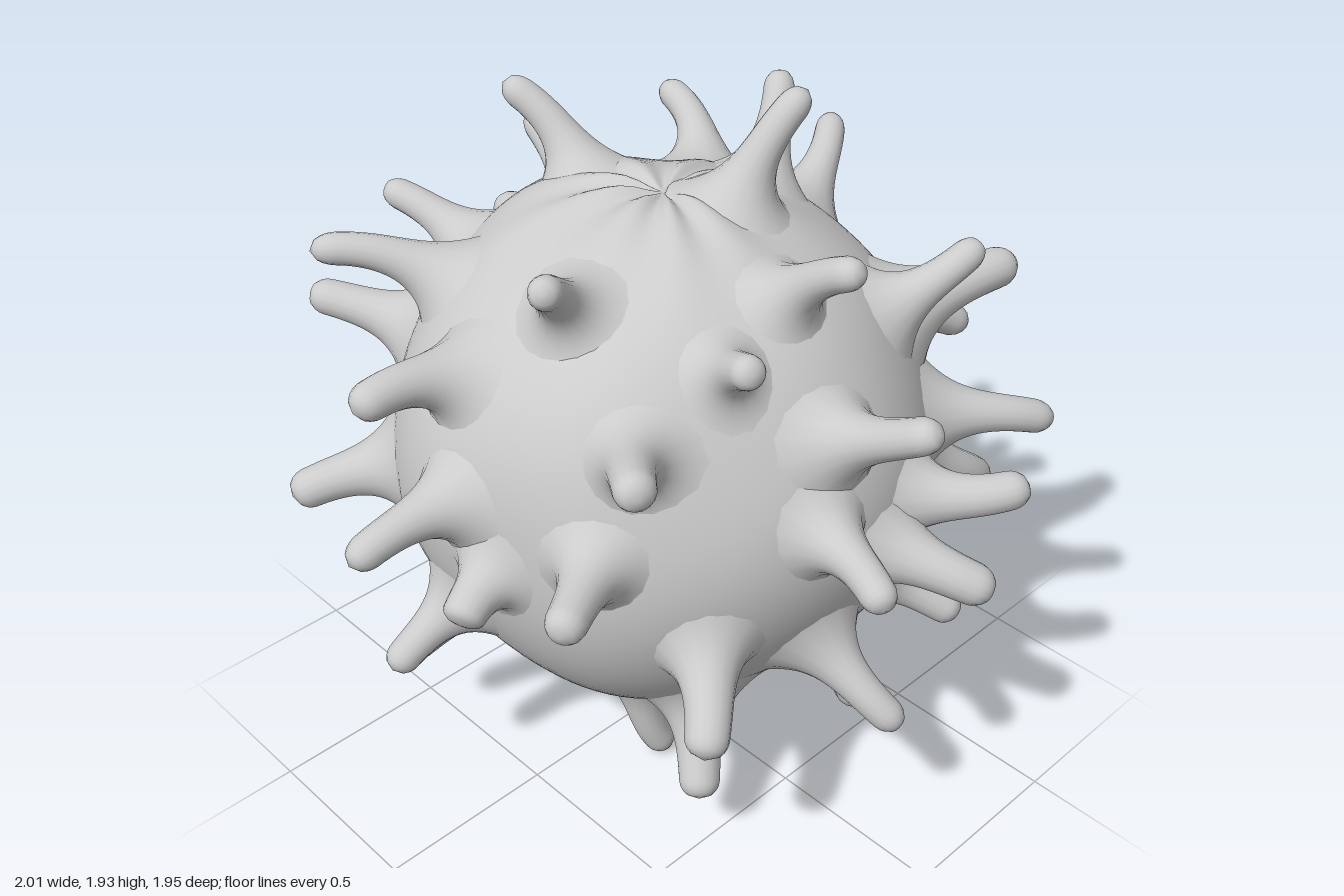
import * as THREE from 'three';
import { mergeVertices } from 'three/addons/utils/BufferGeometryUtils.js';

const R = 0.72;
const CENTER = new THREE.Vector3(0, 0.96, 0);
const material = new THREE.MeshStandardMaterial({ color: 0xcccccc });

// Each spike: tip x, y, z, then root x, y, z
const regions = {
  crownSpikes: [
    [0.27, 1.91, 0.22, 0.12, 1.66, 0.15],
    [-0.09, 1.82, -0.5, -0.01, 1.61, -0.3],
    [0.52, 1.8, -0.1, 0.37, 1.57, -0.02],
    [-0.6, 1.7, 0.25, -0.42, 1.53, 0.13],
    [-0.02, 1.69, 0.66, -0.02, 1.53, 0.43],
    [0.46, 1.66, -0.48, 0.38, 1.52, -0.25],
    [0.8, 1.57, -0.15, 0.55, 1.42, -0.03],
    [0.23, 1.55, -0.8, 0.2, 1.38, -0.56],
    [-0.3, 1.5, -0.77, -0.21, 1.4, -0.54],
    [-0.67, 1.52, -0.57, -0.42, 1.43, -0.36],
    [-0.32, 1.54, 0.62, -0.25, 1.44, 0.46],
    [0.55, 1.53, 0.57, 0.35, 1.39, 0.47],
  ],
  frontSpikes: [
    [-0.03, 1.4, 0.92, -0.05, 1.26, 0.65],
    [-0.65, 1.36, 0.6, -0.5, 1.3, 0.42],
    [0.76, 1.38, 0.53, 0.47, 1.32, 0.42],
    [-0.23, 1.03, 0.96, -0.14, 1.05, 0.7],
    [0.38, 1.05, 0.91, 0.19, 1.01, 0.69],
    [0.2, 0.84, 0.96, 0.08, 0.92, 0.71],
    [0.7, 1.02, 0.75, 0.44, 1.07, 0.56],
    [-0.82, 1.03, 0.52, -0.6, 1.03, 0.39],
    [-0.56, 0.62, 0.72, -0.4, 0.76, 0.56],
    [0.0, 0.46, 0.87, -0.06, 0.64, 0.64],
    [0.44, 0.48, 0.71, 0.31, 0.61, 0.54],
    [0.77, 0.67, 0.5, 0.53, 0.81, 0.45],
  ],
  sideSpikes: [
    [-1.0, 1.02, -0.02, -0.7, 1.07, 0.0],
    [-0.89, 1.36, -0.1, -0.6, 1.33, -0.08],
    [-0.83, 0.85, 0.16, -0.69, 0.9, 0.12],
    [-0.85, 0.53, -0.13, -0.62, 0.67, -0.1],
    [1.0, 0.97, 0.24, 0.69, 1.06, 0.15],
    [0.94, 0.63, 0.04, 0.67, 0.78, 0.07],
  ],
  backSpikes: [
    [0.75, 1.18, -0.65, 0.5, 1.26, -0.43],
    [0.62, 0.8, -0.78, 0.45, 0.94, -0.56],
    [0.23, 1.2, -0.95, 0.18, 1.19, -0.66],
    [-0.09, 0.82, -0.96, -0.06, 0.95, -0.71],
    [-0.54, 1.25, -0.82, -0.38, 1.19, -0.57],
    [-0.82, 0.84, -0.57, -0.58, 0.91, -0.42],
    [0.24, 0.65, -0.88, 0.2, 0.76, -0.66],
    [-0.02, 0.46, -0.78, -0.02, 0.6, -0.62],
  ],
  lowerSpikes: [
    [0.7, 0.32, 0.3, 0.5, 0.5, 0.25],
    [0.23, 0.18, 0.55, 0.16, 0.42, 0.46],
    [-0.37, 0.2, 0.52, -0.27, 0.41, 0.4],
    [-0.15, 0.0, 0.17, -0.2, 0.28, 0.12],
    [0.26, 0.19, -0.52, 0.2, 0.4, -0.42],
    [-0.3, 0.16, -0.46, -0.22, 0.37, -0.37],
    [-0.64, 0.31, -0.37, -0.48, 0.49, -0.26],
  ],
};

// Round body with soft dents and creases gathered at both poles
function makeBody() {
  const g = new THREE.SphereGeometry(R, 96, 64);
  g.deleteAttribute('uv');
  g.deleteAttribute('normal');
  const geo = mergeVertices(g);
  const pos = geo.attributes.position;
  const v = new THREE.Vector3();
  for (let i = 0; i < pos.count; i++) {
    v.fromBufferAttribute(pos, i).normalize();
    const a = Math.atan2(v.z, v.x);
    const s = Math.hypot(v.x, v.z);
    const dents = 0.006 * (Math.sin(7 * v.x + 2 * v.y) + Math.sin(6 * v.y - 5 * v.z) + Math.sin(8 * v.z + 3 * v.x));
    const creases = 0.012 * Math.sin(9 * a + Math.sin(3 * a)) * Math.min(s * 6, 1) * Math.exp(-s * s * 5);
    const pinch = -0.03 * Math.exp(-s * s * 90);
    v.multiplyScalar(R + dents + creases + pinch);
    pos.setXYZ(i, v.x, v.y, v.z);
  }
  geo.computeVertexNormals();
  const mesh = new THREE.Mesh(geo, material);
  mesh.name = 'body';
  mesh.position.copy(CENTER);
  return mesh;
}

// Spike radius along its length: wide root, slim neck, rounded tip
function spikeRadius(t, thick) {
  const r = thick * (1.15 - 0.25 * t) + 0.13 * Math.pow(1 - t, 5);
  const k = Math.max(0, (t - 0.84) / 0.16);
  return r * Math.sqrt(Math.max(0, 1 - k * k));
}

// Curved spike that leaves the body along its normal and bends to the tip
function makeSpike([tx, ty, tz, rx, ry, rz], thick) {
  const end = new THREE.Vector3(tx, ty, tz).sub(CENTER);
  const dir = new THREE.Vector3(rx, ry, rz).sub(CENTER).normalize();
  const start = dir.clone().multiplyScalar(R * 0.94);
  const bend = dir.clone().multiplyScalar(R * 0.94 + start.distanceTo(end) * 0.6);
  const curve = new THREE.QuadraticBezierCurve3(start, bend, end);
  const rings = 26, sides = 16;
  const geo = new THREE.TubeGeometry(curve, rings, 1, sides, false);
  const pos = geo.attributes.position;
  const v = new THREE.Vector3();
  for (let i = 0; i <= rings; i++) {
    const c = curve.getPointAt(i / rings);
    const r = spikeRadius(i / rings, thick);
    for (let j = 0; j <= sides; j++) {
      const n = i * (sides + 1) + j;
      v.fromBufferAttribute(pos, n).sub(c).multiplyScalar(r).add(c);
      pos.setXYZ(n, v.x, v.y, v.z);
    }
  }
  geo.deleteAttribute('uv');
  geo.deleteAttribute('normal');
  const welded = mergeVertices(geo);
  welded.computeVertexNormals();
  const mesh = new THREE.Mesh(welded, material);
  mesh.name = 'spike';
  return mesh;
}

export function createModel() {
  const model = new THREE.Group();
  model.name = 'spikyBall';
  model.add(makeBody());
  for (const [name, spikes] of Object.entries(regions)) {
    const group = new THREE.Group();
    group.name = name;
    group.position.copy(CENTER);
    spikes.forEach((spike, i) => group.add(makeSpike(spike, name === 'crownSpikes' ? 0.044 : 0.048 + 0.005 * (i % 3))));
    model.add(group);
  }
  return model;
}
